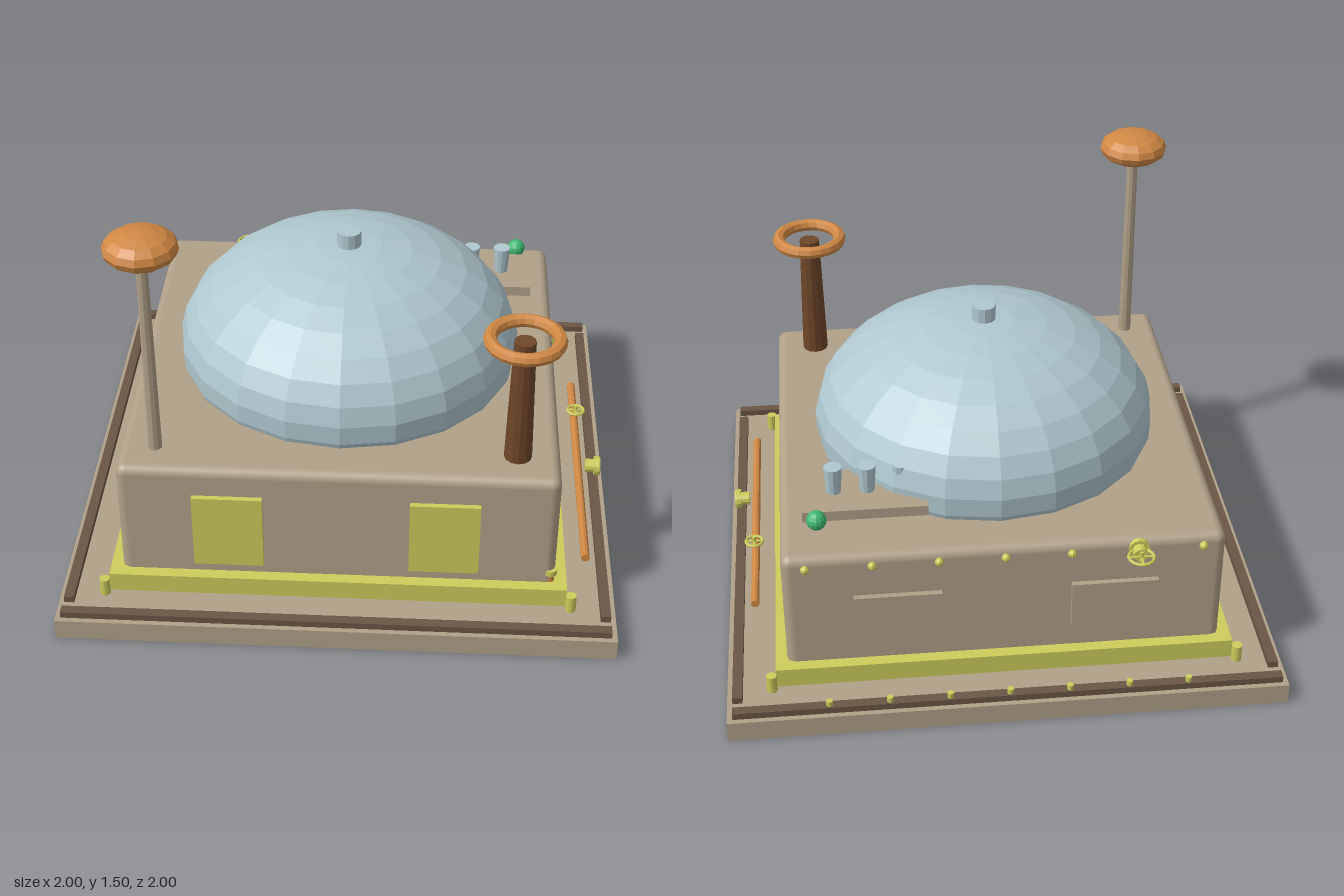
import * as THREE from 'three';
import { RoundedBoxGeometry } from 'three/addons/geometries/RoundedBoxGeometry.js';

const mat = (name, color) => {
  const m = new THREE.MeshStandardMaterial({ color });
  m.name = name;
  return m;
};

export function createModel() {
  const model = new THREE.Group();
  model.name = 'domedBuilding';
  const stone = mat('stone tan', 0xb0a088);
  const yellow = mat('brass yellow', 0xcccc5c);
  const glass = mat('pale blue', 0xb0c8d0);
  const copper = mat('copper orange', 0xd08844);
  const wood = mat('wood brown', 0x6e4628);
  const rail = mat('rail brown', 0x6b5645);
  const green = mat('green', 0x40b872);

  // faceted normals for the low-poly look
  const flat = (g) => {
    const f = g.index ? g.toNonIndexed() : g;
    f.computeVertexNormals();
    return f;
  };
  const add = (name, geo, material, x, y, z, parent = model) => {
    const m = new THREE.Mesh(geo, material);
    m.name = name;
    m.position.set(x, y, z);
    parent.add(m);
    return m;
  };
  const box = (name, material, x0, x1, y0, y1, z0, z1) =>
    add(name, new THREE.BoxGeometry(x1 - x0, y1 - y0, z1 - z0), material,
      (x0 + x1) / 2, (y0 + y1) / 2, (z0 + z1) / 2);
  const post = (name, material, x, z, y0, y1, rBottom, rTop = rBottom, sides = 12) =>
    add(name, flat(new THREE.CylinderGeometry(rTop, rBottom, y1 - y0, sides)), material,
      x, (y0 + y1) / 2, z);

  // plinth with low rails along its edges
  box('plinth', stone, -1, 1, 0, 0.08, -1, 1);
  for (const s of [-1, 1]) {
    box('rail', rail, -0.98, 0.98, 0.08, 0.105, s * 0.963 - 0.018, s * 0.963 + 0.018);
    box('sideRail', rail, s * 0.963 - 0.018, s * 0.963 + 0.018, 0.08, 0.105, -0.9, 0.9);
  }

  // main block and the skirting around its foot
  add('body', new RoundedBoxGeometry(1.565, 0.58, 1.565, 3, 0.035), stone, 0, 0.32, 0);
  for (const s of [-1, 1]) {
    box('skirting', yellow, -0.825, 0.825, 0.08, 0.155, s * 0.8 - 0.025, s * 0.8 + 0.025);
    box('skirtingSide', yellow, s * 0.8 - 0.025, s * 0.8 + 0.025, 0.08, 0.155, -0.775, 0.775);
    for (const t of [-1, 1]) post('cornerPeg', yellow, s * 0.84, t * 0.84, 0.08, 0.147, 0.019);
  }

  // dome and its cap
  const dome = add('dome', flat(new THREE.SphereGeometry(0.64, 20, 10, 0, Math.PI * 2, 0, Math.PI * 0.6)),
    glass, 0, 0.68, 0);
  dome.scale.y = 0.4 / 0.64;
  post('domeCap', glass, 0, 0, 1.06, 1.135, 0.045);

  // tall pole with a flattened knob
  post('pole', stone, -0.655, 0.65, 0.6, 1.4, 0.025, 0.02, 10);
  const knob = add('poleKnob', flat(new THREE.SphereGeometry(0.13, 12, 8)), copper, -0.655, 1.435, 0.65);
  knob.scale.y = 0.48;

  // chimney post with a copper ring
  post('chimney', wood, 0.63, 0.635, 0.6, 1.1, 0.05, 0.038);
  const ring = add('chimneyRing', flat(new THREE.TorusGeometry(0.12, 0.024, 8, 20)), copper, 0.63, 1.105, 0.635);
  ring.rotation.x = Math.PI / 2;

  // windows at the front, panels at the back
  for (const x of [-0.39, 0.38]) {
    box('window', yellow, x - 0.125, x + 0.125, 0.2, 0.5, 0.77, 0.802);
    box('backPanel', stone, x - 0.155, x + 0.155, 0.26, 0.44, -0.803, -0.77);
  }

  // studs on the back wall and the back rail
  for (let i = -3; i <= 3; i++) {
    add('wallStud', flat(new THREE.SphereGeometry(0.016, 8, 6)), yellow, i * 0.233, 0.57, -0.788);
    post('railStud', yellow, i * 0.213, -0.965, 0.1, 0.125, 0.012, 0.012, 8);
  }

  // shelf with three cups and a green ball
  box('shelf', stone, 0.255, 0.7, 0.64, 0.68, -0.607, -0.358);
  for (const x of [0.345, 0.465, 0.585]) post('cup', glass, x, -0.485, 0.68, 0.785, 0.026, 0.033);
  add('ball', flat(new THREE.SphereGeometry(0.036, 12, 8)), green, 0.65, 0.682, -0.655);

  // handwheel lying flat with crossed spokes and a stem
  const handwheel = (x, y, z, r) => {
    const g = new THREE.Group();
    g.name = 'handwheel';
    g.position.set(x, y, z);
    add('wheelRim', flat(new THREE.TorusGeometry(r, 0.006, 6, 16)), yellow, 0, 0, 0, g).rotation.x = Math.PI / 2;
    for (const a of [0, Math.PI / 2])
      add('spoke', new THREE.BoxGeometry(r * 2, 0.006, 0.008), yellow, 0, 0, 0, g).rotation.y = a;
    add('stem', flat(new THREE.CylinderGeometry(0.007, 0.007, 0.04, 8)), yellow, 0, 0, 0, g);
    model.add(g);
  };

  // flange: a short hub between a wide collar and an open rim, along z
  const flange = (x, y, z, turn) => {
    const g = new THREE.Group();
    g.name = 'flange';
    g.position.set(x, y, z);
    g.rotation.y = turn;
    const hub = add('hub', flat(new THREE.CylinderGeometry(0.026, 0.026, 0.05, 12)), yellow, 0, 0, 0, g);
    hub.rotation.x = Math.PI / 2;
    const collar = add('collar', flat(new THREE.CylinderGeometry(0.038, 0.038, 0.018, 12)), yellow, 0, 0, 0.018, g);
    collar.rotation.x = Math.PI / 2;
    add('lip', flat(new THREE.TorusGeometry(0.03, 0.008, 6, 14)), yellow, 0, 0, 0.025, g);
    model.add(g);
  };
  handwheel(-0.47, 0.57, -0.83, 0.045);
  flange(-0.47, 0.572, -0.8, 0);
  handwheel(0.9, 0.23, -0.16, 0.032);
  flange(0.947, 0.203, 0.16, Math.PI / 2);

  // copper pipe along the left side
  const pipe = add('pipe', flat(new THREE.CylinderGeometry(0.016, 0.016, 1.08, 10)), copper, 0.9, 0.15, 0.1);
  pipe.rotation.x = Math.PI / 2;

  // small capped tap at the front corner
  post('tapStem', copper, 0.765, 0.767, 0.14, 0.188, 0.015);
  post('tapCap', yellow, 0.765, 0.767, 0.186, 0.208, 0.024);

  return model;
}
